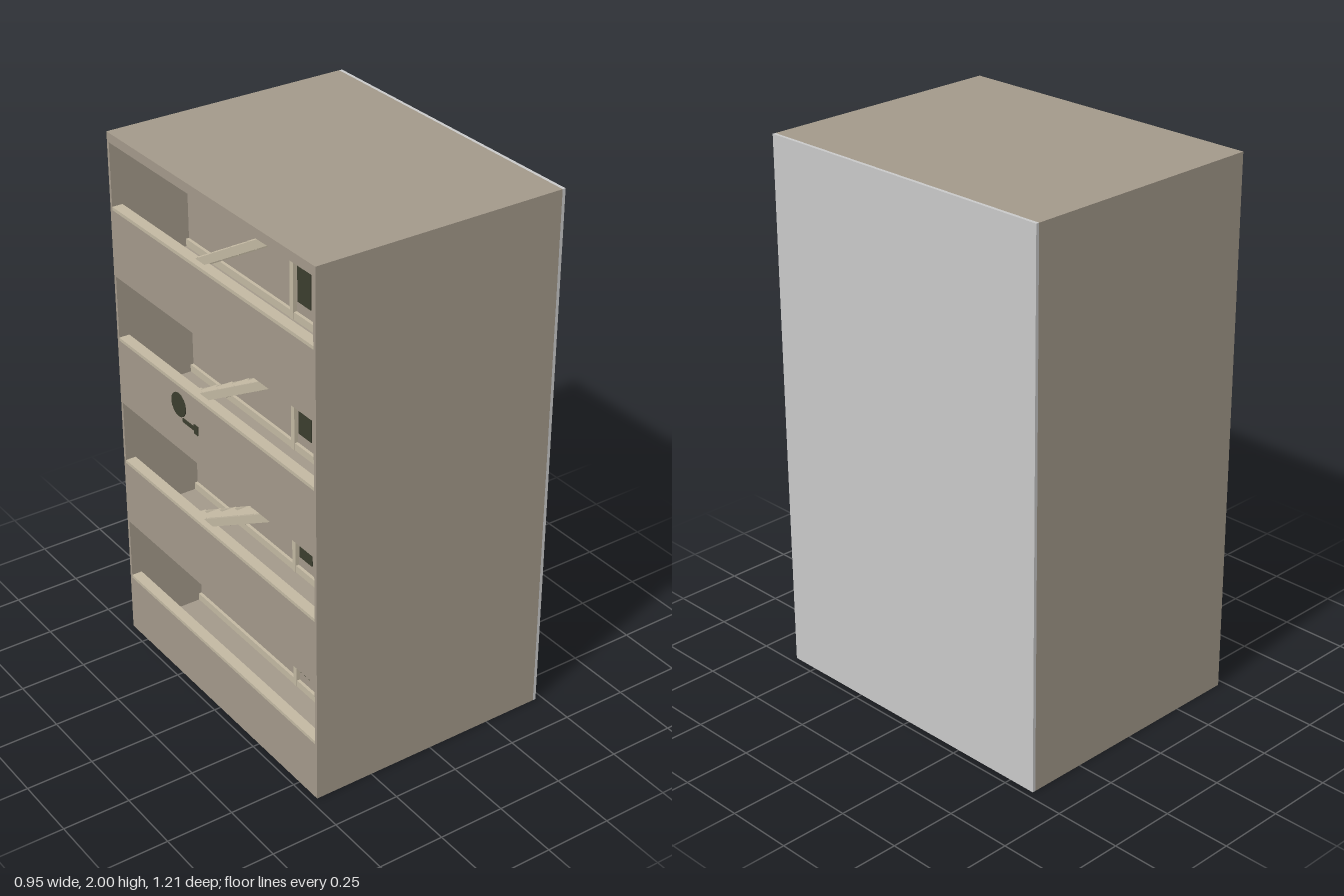
import * as THREE from 'three';

const W = 0.475, D = 0.605, H = 2, T = 0.012;
const STOREY = 0.498, WALL_X = -0.18;

function material(name, color) {
  const m = new THREE.MeshStandardMaterial({ color });
  m.name = name;
  return m;
}

export function createModel() {
  const brown = material('brown plaster', 0xa3998a);
  const grey = material('light grey', 0xc9c9c9);
  const cream = material('cream trim', 0xc2b8a2);
  const dark = material('dark green', 0x3b3d2e);

  const model = new THREE.Group();
  model.name = 'apartmentBlock';

  // Box given by its minimum and maximum corners
  function block(name, mat, x0, x1, y0, y1, z0, z1, parent = model) {
    const mesh = new THREE.Mesh(new THREE.BoxGeometry(x1 - x0, y1 - y0, z1 - z0), mat);
    mesh.position.set((x0 + x1) / 2, (y0 + y1) / 2, (z0 + z1) / 2);
    mesh.name = name;
    parent.add(mesh);
    return mesh;
  }

  // Outer shell
  block('frontWall', brown, -W, W - T, 0, H, D - T, D);
  block('backWall', brown, -W, W - T, 0, H, -D, -D + T);
  block('roof', brown, -W, W - T, H - 0.035, H, -D + T, D - T);
  block('sideWall', grey, W - T, W, 0, H, -D, D);

  // Wall between gallery and rooms
  block('galleryWall', brown, WALL_X, WALL_X + T, 0, H - 0.035, -D + T, D - T);

  // Door leaf showing on both sides of the wall, with posts, lintel and sill
  function doorway(parent, y, leaves, z0, z1) {
    for (const [a, b] of leaves)
      block('doorPanel', dark, WALL_X - 0.004, WALL_X + T + 0.004, y + 0.08, y + 0.41, a, b, parent);
    for (const z of [z0, z1])
      block('doorPost', cream, WALL_X - 0.014, WALL_X + T + 0.006, y, y + 0.43, z - 0.01, z + 0.01, parent);
    block('lintel', cream, WALL_X - 0.014, WALL_X + T + 0.006, y + 0.42, y + 0.44, z0, z1, parent);
  }

  // Steep open stair rising towards the front along the parapet
  function stair(parent, y) {
    const run = 0.8, rise = 0.47, z0 = -0.48, treads = 8;
    for (const x of [-0.445, -0.325]) {
      const stringer = new THREE.Mesh(new THREE.BoxGeometry(0.016, 0.028, Math.hypot(run, rise)), cream);
      stringer.rotation.x = -Math.atan2(rise, run);
      stringer.position.set(x, y + rise / 2, z0 + run / 2);
      stringer.name = 'stairStringer';
      parent.add(stringer);
    }
    for (let i = 1; i < treads; i++) {
      const f = i / treads, z = z0 + run * f, ty = y + rise * f;
      block('stairTread', cream, -0.445, -0.325, ty - 0.006, ty + 0.006, z - 0.025, z + 0.025, parent);
    }
  }

  // Storeys
  for (let i = 0; i < 4; i++) {
    const y = i * STOREY;
    const floor = new THREE.Group();
    floor.name = 'storey' + (i + 1);
    model.add(floor);

    // Ground storey has a slab under the gallery only
    const slabEnd = i === 0 ? WALL_X : W - T;
    const slabBase = i === 0 ? 0 : y - 0.025;
    block('floorSlab', brown, -W + 0.02, slabEnd, slabBase, y + 0.012, -D + T, D - T, floor);

    block('parapet', brown, -W, -W + 0.02, slabBase, y + 0.225, -D + T, D - T, floor);
    block('parapetCap', cream, -W, -W + 0.04, y + 0.225, y + 0.237, -D + T, D - T, floor);
    block('baseboard', cream, WALL_X - 0.012, WALL_X, y + 0.012, y + 0.04, -D + T, D - T, floor);

    doorway(floor, y, [[0.08, 0.155], [0.19, 0.29]], 0.06, 0.315);
    if (i === 0) doorway(floor, y, [[0.395, 0.49]], 0.375, 0.565);
    else stair(floor, y);
  }

  // Small round fitting with a short arm on the parapet face
  const disc = new THREE.Mesh(new THREE.CylinderGeometry(0.045, 0.045, 0.006, 16), dark);
  disc.rotation.z = Math.PI / 2;
  disc.position.set(-W, 1.15, -0.205);
  disc.name = 'wallFitting';
  model.add(disc);
  block('wallFittingArm', dark, -W - 0.003, -W + 0.003, 1.095, 1.11, -0.18, -0.1);
  block('wallFittingTip', dark, -W - 0.003, -W + 0.003, 1.085, 1.12, -0.11, -0.085);

  return model;
}
